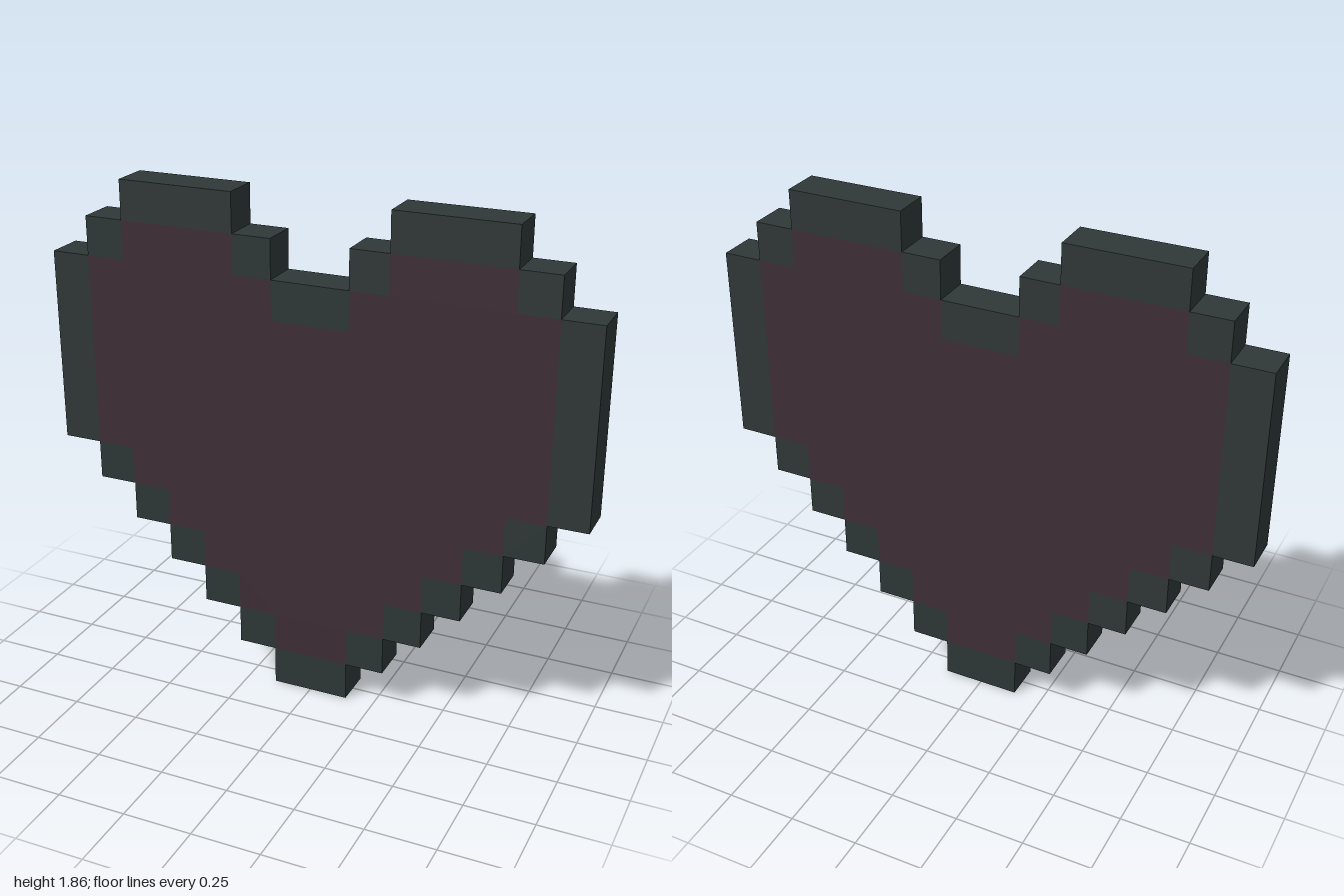
import * as THREE from 'three';

const P = 1 / 7; // one pixel of the 14 x 13 pixel heart

export function createModel() {
  const heart = new THREE.Group();
  heart.name = 'pixelHeart';

  const borderMat = new THREE.MeshStandardMaterial({ color: 0x2f3837 });
  borderMat.name = 'dark slate';
  const fillMat = new THREE.MeshStandardMaterial({ color: 0x3e2e36 });
  fillMat.name = 'dark plum';

  // Border block spanning pixel columns x0..x1 and rows y0..y1
  const addBlock = (name, x0, x1, y0, y1) => {
    const block = new THREE.Mesh(new THREE.BoxGeometry((x1 - x0) * P, (y1 - y0) * P, P), borderMat);
    block.position.set(((x0 + x1) / 2) * P, ((y0 + y1) / 2) * P, 0);
    block.name = name;
    heart.add(block);
  };
  const addPair = (name, x0, x1, y0, y1) => {
    addBlock(name + 'Left', x0, x1, y0, y1);
    addBlock(name + 'Right', -x1, -x0, y0, y1);
  };

  // Bottom tip and the notch between the lobes
  addBlock('borderTip', -1, 1, 0, 1);
  addBlock('borderNotch', -1, 1, 10, 11);

  // Stair-stepped lower sides
  for (let i = 1; i <= 5; i++) addPair('borderStep' + i, i, i + 1, i, i + 1);

  // Straight sides and lobe tops
  addPair('borderSide', 6, 7, 6, 11);
  addPair('borderShoulder', 5, 6, 11, 12);
  addPair('borderLobeTop', 2, 5, 12, 13);
  addPair('borderInnerStep', 1, 2, 11, 12);

  // Stepped filling, flush with the border: left half mirrored to the right
  const half = [];
  for (let i = 1; i <= 5; i++) half.push([i, i], [i, i + 1]);
  half.push([6, 6], [6, 11], [5, 11], [5, 12], [2, 12], [2, 11], [1, 11], [1, 10]);
  const mirrored = half.map(([x, y]) => [-x, y]).reverse();
  const shape = new THREE.Shape([...half, ...mirrored].map(([x, y]) => new THREE.Vector2(x * P, y * P)));
  const fillGeo = new THREE.ExtrudeGeometry(shape, { depth: P, bevelEnabled: false });
  fillGeo.translate(0, 0, -P / 2);
  const fill = new THREE.Mesh(fillGeo, fillMat);
  fill.name = 'heartFilling';
  heart.add(fill);

  return heart;
}
